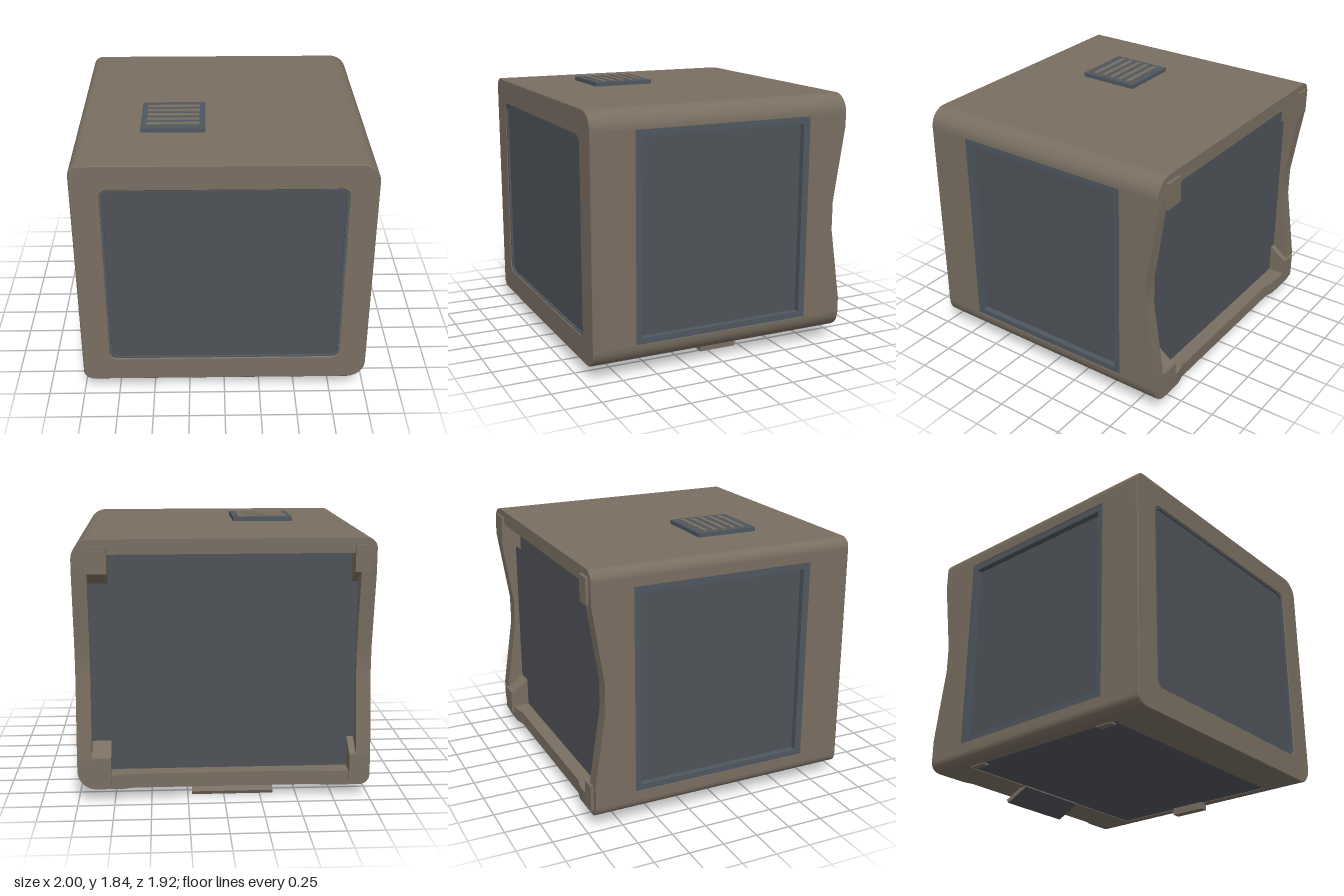
import * as THREE from 'three';
import { toCreasedNormals } from 'three/addons/utils/BufferGeometryUtils.js';

const mat = (name, color) => Object.assign(new THREE.MeshStandardMaterial({ color }), { name });

// Rounded rectangle with separate radii for its left and right corners
function roundRect(C, x0, x1, y0, y1, rl, rr = rl) {
  const s = new C();
  s.moveTo(x0 + rl, y0);
  s.lineTo(x1 - rr, y0);
  s.absarc(x1 - rr, y0 + rr, rr, -Math.PI / 2, 0);
  s.lineTo(x1, y1 - rr);
  s.absarc(x1 - rr, y1 - rr, rr, 0, Math.PI / 2);
  s.lineTo(x0 + rl, y1);
  s.absarc(x0 + rl, y1 - rl, rl, Math.PI / 2, Math.PI);
  s.lineTo(x0, y0 + rl);
  s.absarc(x0 + rl, y0 + rl, rl, Math.PI, Math.PI * 1.5);
  return s;
}

const rectPoints = (x0, x1, y0, y1) => [[x0, y0], [x1, y0], [x1, y1], [x0, y1]];
const vectors = points => points.map(p => new THREE.Vector2(...p));

function polygon(points, hole) {
  const s = new THREE.Shape(vectors(points));
  if (hole) s.holes.push(new THREE.Path(vectors(hole)));
  return s;
}

function extrude(shape, depth, bevel = 0) {
  const g = new THREE.ExtrudeGeometry(shape, {
    depth, curveSegments: 10, bevelEnabled: bevel > 0, bevelSegments: 1,
    bevelThickness: bevel, bevelSize: bevel, bevelOffset: -bevel,
  });
  return toCreasedNormals(g, 0.5);
}

// Extrude a (z, y) shape along x, from x0 to x0 - depth
const extrudeX = (shape, depth) => extrude(shape, depth).rotateY(-Math.PI / 2);

export function createModel() {
  const model = new THREE.Group();
  model.name = 'cabinet';
  const casing = mat('casing brown', 0x796e61);
  const slate = mat('pane slate', 0x4e5258);
  const trim = mat('trim slate blue', 0x4f575f);

  const add = (name, geometry, material, parent = model) => {
    const m = new THREE.Mesh(geometry, material);
    m.name = name;
    parent.add(m);
    return m;
  };
  // Box given by its limits on each axis
  const box = (name, x0, x1, y0, y1, z0, z1, material) => {
    const m = add(name, new THREE.BoxGeometry(x1 - x0, y1 - y0, z1 - z0), material);
    m.position.set((x0 + x1) / 2, (y0 + y1) / 2, (z0 + z1) / 2);
    return m;
  };

  const bottom = 0.095, top = 1.805, back = -0.94, wallFront = 0.91;
  const mid = (bottom + top) / 2;
  const radius = { '-1': 0.07, '1': 0.13 };

  // Inner core, seen as the recessed panes on every side
  box('panes', -0.95, 0.95, 0.13, 1.75, -0.82, 0.937, slate);
  box('bottomPane', -0.89, 0.84, 0.1, 0.14, -0.67, 0.67, slate);

  // Front bezel and its rounded trim
  const bezel = roundRect(THREE.Shape, -1, 1, bottom, top, 0.07, 0.13);
  bezel.holes.push(roundRect(THREE.Path, -0.807, 0.807, 0.277, 1.623, 0.05));
  add('frontBezel', extrude(bezel, 0.043, 0.007), casing).position.z = 0.907;
  const frontTrim = roundRect(THREE.Shape, -0.815, 0.815, 0.269, 1.631, 0.055);
  frontTrim.holes.push(roundRect(THREE.Path, -0.79, 0.79, 0.285, 1.615, 0.045));
  add('frontTrim', extrude(frontTrim, 0.035), trim).position.z = 0.916;

  for (const side of [-1, 1]) {
    const r = radius[side];
    const label = side > 0 ? 'left' : 'right';

    // Rounded long edges
    for (const up of [-1, 1]) {
      const cx = side * (1 - r), cy = up > 0 ? top - r : bottom + r;
      const points = [[cx, cy]];
      for (let i = 0; i <= 10; i++) {
        const a = (i / 10) * Math.PI / 2;
        points.push([cx + side * r * Math.cos(a), cy + up * r * Math.sin(a)]);
      }
      add(label + 'RoundedEdge', extrude(polygon(points), wallFront - back), casing).position.z = back;
    }

    // Side wall with a window opening and a scooped back edge
    const y0 = bottom + r, y1 = top - r;
    const wall = polygon(
      [[wallFront, y0], [wallFront, y1], [back, y1], [back, 1.58], [-0.86, 1.05], [-0.86, 0.85], [back, 0.33], [back, y0]],
      rectPoints(-0.65, 0.65, 0.23, 1.67));
    add(label + 'Wall', extrudeX(wall, 0.1), casing).position.x = side > 0 ? 1 : -0.9;

    // Window trim
    const ring = polygon(rectPoints(-0.65, 0.65, 0.228, 1.672), rectPoints(-0.605, 0.605, 0.272, 1.622));
    add(label + 'WindowTrim', extrudeX(ring, 0.05), trim).position.x = side > 0 ? 0.993 : -0.943;

    // Back corner pads on sloped corner blocks
    const [px0, px1] = side > 0 ? [0.77, 0.91] : [-0.96, -0.855];
    for (const up of [-1, 1]) {
      const outer = mid + up * 0.81, inner = mid + up * 0.63;
      box(label + 'BackPad', px0, px1, Math.min(outer, inner), Math.max(outer, inner), -0.96, -0.93, casing);
      const block = polygon([[-0.935, outer], [-0.935, inner], [-0.81, inner - up * 0.09], [-0.81, outer]]);
      add(label + 'CornerBlock', extrudeX(block, px1 - px0), casing).position.x = px1;
    }
  }

  // Top and bottom slabs
  box('topSlab', -0.93, 0.87, 1.705, top, back, wallFront, casing);
  const floor = polygon(
    [[-0.93, back], [-0.7, back], [-0.62, -0.92], [0.62, -0.92], [0.7, back], [0.87, back], [0.87, wallFront], [-0.93, wallFront]],
    rectPoints(-0.88, 0.83, -0.66, 0.66));
  add('bottomSlab', extrude(floor, 0.1).rotateX(Math.PI / 2), casing).position.y = bottom + 0.1;
  for (const z of [-0.58, 0.58]) {
    box('bottomClip', -0.89, -0.84, 0.088, 0.13, z - 0.06, z + 0.06, casing);
  }

  // Small foot under the left edge
  box('foot', 0.81, 0.87, 0.047, 0.12, -0.16, 0.11, casing);

  // Tilted flap beneath the back
  box('flapMount', -0.3, 0.18, 0.065, 0.11, -0.82, -0.7, slate);
  const flap = new THREE.Group();
  flap.name = 'flap';
  flap.position.set(-0.06, 0.061, -0.75);
  flap.rotation.x = -0.45;
  add('flapPlate', new THREE.BoxGeometry(0.56, 0.028, 0.205), casing, flap);
  add('flapUnderside', new THREE.BoxGeometry(0.55, 0.006, 0.2), slate, flap).position.y = -0.014;
  model.add(flap);

  // Top vent with slats
  box('vent', -0.56, -0.12, 1.8, 1.834, 0.03, 0.47, trim);
  for (let i = 0; i < 5; i++) {
    const z = 0.104 + i * 0.072;
    box('ventSlat', -0.52, -0.16, 1.83, 1.841, z - 0.015, z + 0.015, casing);
  }
  return model;
}
